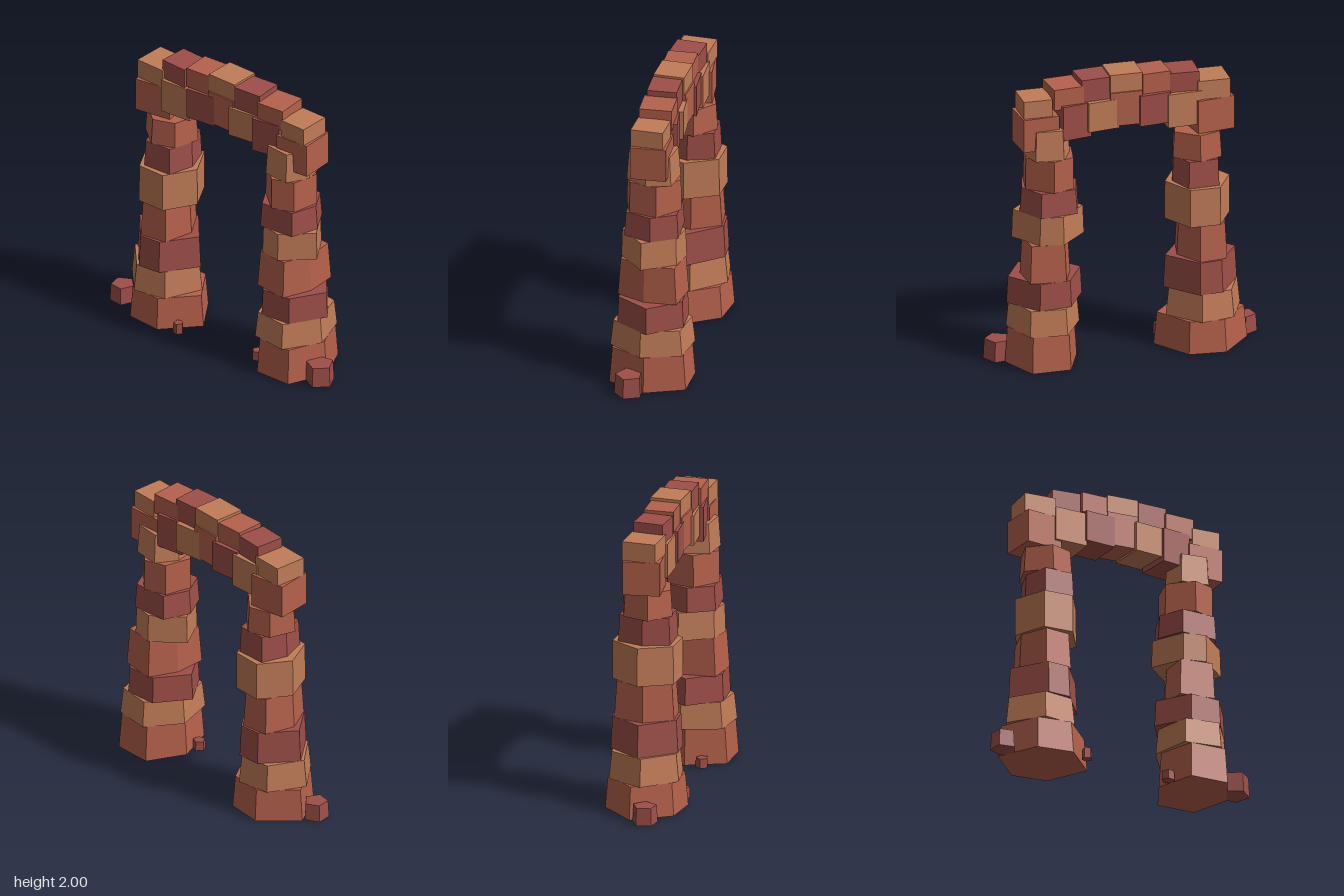
import * as THREE from 'three';
import { ConvexGeometry } from 'three/addons/geometries/ConvexGeometry.js';

const material = (color) => new THREE.MeshStandardMaterial({ color, flatShading: true, roughness: 0.9 });
const stone = { mid: material(0xb5614b), dark: material(0x9e4f48), tan: material(0xc17c57) };

// Six-sided tapered stone: height range, x extents, x of the two front corners, half depth
function pillarStone([y0, y1, xl, xr, e1, e2, depth, tone, taper = 0.95]) {
  const c = (xl + xr) / 2, r = (xr - xl) / 2;
  const twist = r * (c - (e1 + e2) / 2) / depth;
  const half = [
    [r, twist],
    [e2 - c, depth + Math.min(twist, 0)],
    [e1 - c, depth - Math.max(twist, 0)],
  ];
  const points = [];
  for (const [x, z] of half) {
    for (const s of [1, -1]) {
      points.push(new THREE.Vector3(c + s * x, y0, s * z));
      points.push(new THREE.Vector3(c + s * x * taper, y1, s * z * taper));
    }
  }
  return new THREE.Mesh(new ConvexGeometry(points), stone[tone]);
}

function pillar(name, rows) {
  const group = new THREE.Group();
  group.name = name;
  rows.forEach((row, i) => {
    const mesh = pillarStone(row);
    mesh.name = `${name}Stone${i + 1}`;
    group.add(mesh);
  });
  return group;
}

// Row of slightly turned blocks: x range, y range, depth, turn about y, z offset
function archRow(name, rows) {
  const group = new THREE.Group();
  group.name = name;
  rows.forEach(([x0, x1, y0, y1, depth, turn, z, tone], i) => {
    const width = (x1 - x0 - depth * Math.abs(Math.sin(turn))) / Math.cos(turn);
    const mesh = new THREE.Mesh(new THREE.BoxGeometry(width, y1 - y0, depth), stone[tone]);
    mesh.position.set((x0 + x1) / 2, (y0 + y1) / 2, z);
    mesh.rotation.y = turn;
    mesh.name = `${name}Block${i + 1}`;
    group.add(mesh);
  });
  return group;
}

export function createModel() {
  const model = new THREE.Group();
  model.name = 'stoneArch';

  model.add(pillar('rightPillar', [
    [0, 0.225, -0.85, -0.22, -0.68, -0.43, 0.255, 'mid', 0.93],
    [0.225, 0.415, -0.82, -0.285, -0.63, -0.4, 0.25, 'tan', 0.92],
    [0.415, 0.64, -0.79, -0.275, -0.6, -0.44, 0.235, 'dark'],
    [0.64, 0.895, -0.715, -0.365, -0.605, -0.415, 0.21, 'mid', 0.92],
    [0.895, 1.16, -0.735, -0.29, -0.62, -0.415, 0.215, 'tan', 0.99],
    [1.16, 1.345, -0.665, -0.34, -0.6, -0.39, 0.18, 'dark'],
    [1.345, 1.525, -0.695, -0.33, -0.54, -0.38, 0.18, 'mid', 0.93],
  ]));

  model.add(pillar('leftPillar', [
    [0, 0.25, 0.315, 0.81, 0.43, 0.695, 0.26, 'mid', 0.93],
    [0.25, 0.43, 0.305, 0.795, 0.395, 0.645, 0.265, 'tan', 0.93],
    [0.43, 0.615, 0.275, 0.805, 0.445, 0.665, 0.23, 'dark', 0.96],
    [0.615, 0.875, 0.37, 0.7, 0.38, 0.62, 0.22, 'mid', 0.92],
    [0.875, 1.07, 0.275, 0.755, 0.41, 0.565, 0.21, 'tan', 0.97],
    [1.07, 1.24, 0.3, 0.715, 0.4, 0.655, 0.19, 'dark', 0.94],
    [1.24, 1.46, 0.335, 0.685, 0.495, 0.645, 0.19, 'mid', 0.98],
    [1.46, 1.665, 0.37, 0.68, 0.41, 0.6, 0.165, 'tan', 0.92],
  ]));

  model.add(archRow('lowerArch', [
    [-0.74, -0.445, 1.53, 1.76, 0.25, 0.14, 0, 'mid'],
    [-0.51, -0.265, 1.59, 1.825, 0.25, 0.05, 0, 'tan'],
    [-0.3, -0.06, 1.625, 1.84, 0.25, 0.1, 0, 'dark'],
    [-0.11, 0.115, 1.64, 1.875, 0.23, -0.03, 0, 'mid'],
    [0.055, 0.3, 1.625, 1.83, 0.25, 0.12, 0, 'tan'],
    [0.245, 0.49, 1.585, 1.825, 0.25, 0.17, 0, 'dark'],
    [0.47, 0.73, 1.53, 1.76, 0.24, 0.05, -0.005, 'mid'],
  ]));

  model.add(archRow('upperArch', [
    [-0.715, -0.485, 1.76, 1.89, 0.23, -0.03, 0, 'tan'],
    [-0.51, -0.3, 1.825, 1.96, 0.205, -0.06, 0.005, 'dark'],
    [-0.305, -0.1, 1.84, 1.98, 0.2, 0.05, 0.005, 'mid'],
    [-0.11, 0.115, 1.875, 2, 0.21, -0.02, 0, 'tan'],
    [0.1, 0.32, 1.83, 1.985, 0.2, 0.06, 0.005, 'dark'],
    [0.295, 0.52, 1.8, 1.945, 0.22, 0.07, 0, 'mid'],
    [0.51, 0.71, 1.755, 1.88, 0.22, -0.02, 0, 'tan'],
  ]));

  // Loose five-sided rocks around the feet
  [
    [-0.86, 0.085, 0.088, 0.12, 0.5],
    [0.83, 0.09, 0.1, 0.14, 1.4],
    [-0.3, 0.19, 0.036, 0.075, 0.3],
    [0.325, 0.12, 0.045, 0.065, 0.9],
  ].forEach(([x, z, r, h, turn], i) => {
    const rock = new THREE.Mesh(new THREE.CylinderGeometry(r * 0.92, r, h, 5), stone.dark);
    rock.position.set(x, h / 2, z);
    rock.rotation.y = turn;
    rock.name = `looseRock${i + 1}`;
    model.add(rock);
  });

  return model;
}
